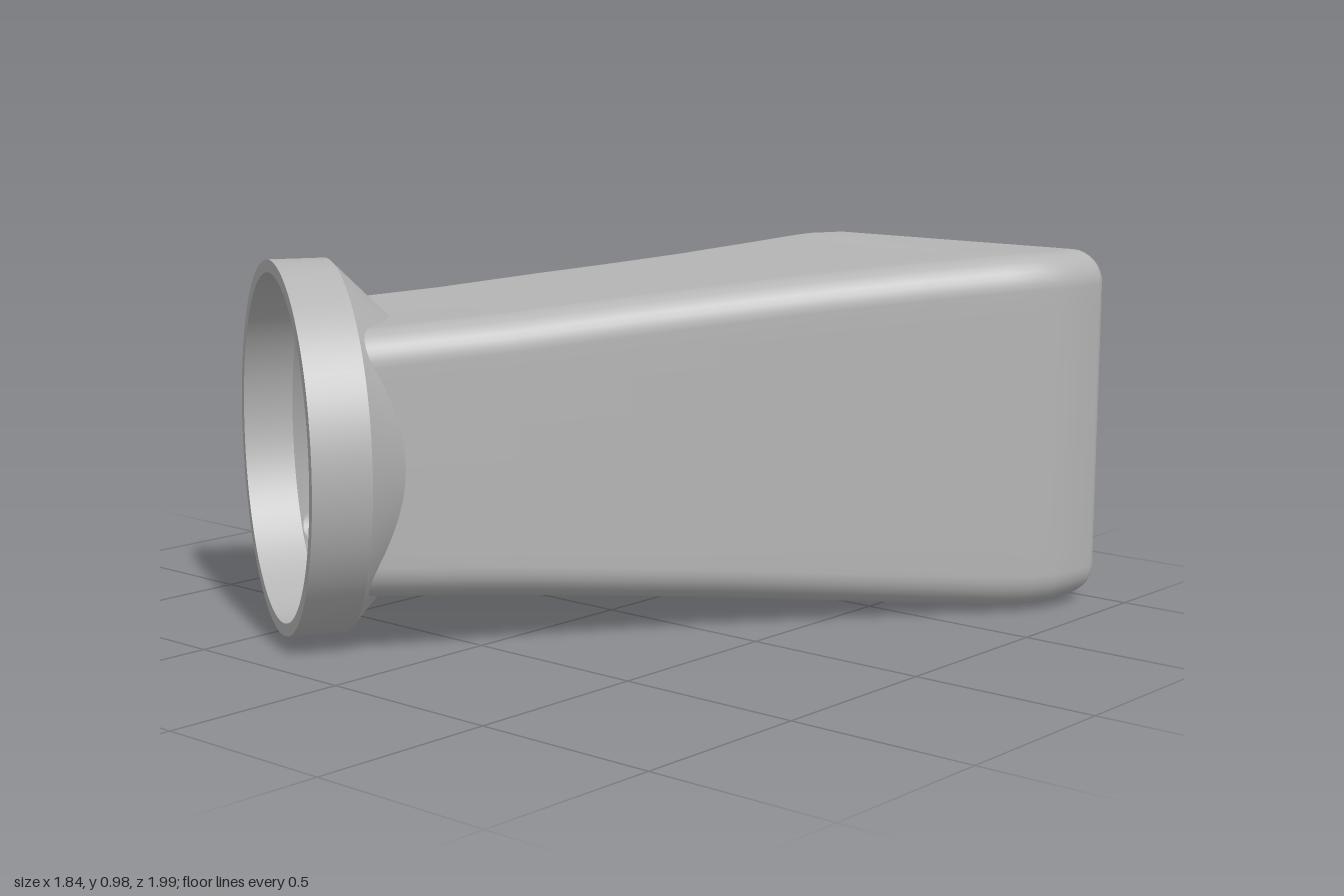
import * as THREE from 'three';
import { toCreasedNormals } from 'three/addons/utils/BufferGeometryUtils.js';

const CY = 0.49;                       // height of the duct's centre line
const RING_R = 0.488, BORE_R = 0.455;  // collar radii
const RING = new THREE.Vector3(-0.425, 0.488, 0.62); // centre of collar's rear edge
const TILT = Math.PI / 6;
const WALL = 0.02;

// Point from collar coordinates: e across, y up, d depth behind the collar
const fromCollar = (e, y, d) => new THREE.Vector3(
  RING.x + e * Math.cos(TILT) + d * Math.sin(TILT), y,
  RING.z + e * Math.sin(TILT) - d * Math.cos(TILT));

// Rounded rectangle, counter-clockwise, with subdivided flats
function roundedRect(a, b, r) {
  const pts = [], corners = [[1, 1], [-1, 1], [-1, -1], [1, -1]];
  corners.forEach(([sx, sy], q) => {
    for (let i = 0; i <= 8; i++) {
      const t = (q + i / 8) * Math.PI / 2;
      pts.push([sx * (a - r) + r * Math.cos(t), sy * (b - r) + r * Math.sin(t)]);
    }
    const p = pts[pts.length - 1], [nx, ny] = corners[(q + 1) % 4];
    const t = (q + 1) * Math.PI / 2;
    const end = [nx * (a - r) + r * Math.cos(t), ny * (b - r) + r * Math.sin(t)];
    for (let i = 1; i < 12; i++) {
      pts.push([p[0] + (end[0] - p[0]) * i / 12, p[1] + (end[1] - p[1]) * i / 12]);
    }
  });
  return pts;
}

// Skin a list of closed rings of equal length
function loft(rings, inward) {
  const n = rings[0].length, pos = [], idx = [];
  rings.forEach(ring => ring.forEach(p => pos.push(p.x, p.y, p.z)));
  for (let i = 0; i < rings.length - 1; i++) {
    for (let j = 0; j < n; j++) {
      const k = (j + 1) % n;
      const a = i * n + j, b = i * n + k, c = b + n, d = a + n;
      if (inward) idx.push(a, b, d, d, b, c);
      else idx.push(a, d, b, d, c, b);
    }
  }
  const g = new THREE.BufferGeometry();
  g.setAttribute('position', new THREE.Float32BufferAttribute(pos, 3));
  g.setIndex(idx);
  g.computeVertexNormals();
  return g;
}

// Body stations: left x, z, right x, z, half height
const STATIONS = [
  [-0.58, 0.104, 0.10, 0.462, 0.365],
  [-0.45, -0.145, 0.25, 0.20, 0.392],
  [-0.35, -0.335, 0.37, 0.00, 0.411],
  [-0.25, -0.525, 0.505, -0.20, 0.432],
  [-0.15, -0.71, 0.69, -0.46, 0.457],
  [-0.085, -0.835, 0.835, -0.655, 0.474],
  [-0.065, -0.872, 0.878, -0.72, 0.478],
  [-0.05, -0.90, 0.908, -0.785, 0.478],
  [-0.04, -0.92, 0.92, -0.85, 0.478],
  [-0.03, -0.94, 0.92, -0.94, 0.478],
];

// One station of the body, shrunk by an inset
function station([lx, lz, rx, rz, h], inset, radius) {
  const a = Math.hypot(rx - lx, rz - lz) / 2;
  return roundedRect(a - inset, h - inset, radius).map(([u, v]) => {
    const t = (u / a + 1) / 2;
    return new THREE.Vector3(lx + (rx - lx) * t, CY + v, lz + (rz - lz) * t);
  });
}

// Body mouth, cut where it meets the 45 degree cone
function mouth(inset, coneBase) {
  return roundedRect(0.38 - inset, 0.34 - inset, 0.09 - inset)
    .map(([u, v]) => fromCollar(u, CY + v, coneBase - Math.hypot(u, v)));
}

function bodyGeometry(inset, coneBase, inward) {
  const rings = [mouth(inset, coneBase)];
  STATIONS.forEach(s => rings.push(station(s, inset, 0.09 - inset)));
  // rounded rear edge
  const last = STATIONS[STATIONS.length - 1], r = 0.06 - inset;
  for (let i = 1; i <= 6; i++) {
    const t = i / 6 * Math.PI / 2, q = r * (1 - Math.cos(t));
    const z = -0.94 - r * Math.sin(t);
    rings.push(station([last[0], z, last[2], z, last[4]], inset + q, 0.09 - inset - q));
  }
  // flat rear wall, with its own vertices
  const rim = rings[rings.length - 1];
  const centre = new THREE.Vector3((last[0] + last[2]) / 2, CY, rim[0].z);
  rings.push(rim.map(p => p.clone()), rim.map(() => centre));
  return loft(rings, inward);
}

// Cone between the collar and the body mouth
function coneGeometry(inset, coneBase, radius, inward) {
  const circle = roundedRect(0.38 - inset, 0.34 - inset, 0.09 - inset).map(([u, v]) => {
    const k = radius / Math.hypot(u, v);
    return fromCollar(u * k, RING.y + v * k, coneBase - radius);
  });
  return loft([circle, mouth(inset, coneBase)], inward);
}

export function createModel() {
  const group = new THREE.Group();
  const grey = new THREE.MeshStandardMaterial({ color: 0xb4b4b4 });
  grey.name = 'grey';
  const add = (name, geometry) => {
    const mesh = new THREE.Mesh(geometry, grey);
    mesh.name = name;
    group.add(mesh);
    return mesh;
  };

  // Round collar
  const shape = new THREE.Shape().absarc(0, 0, RING_R, 0, Math.PI * 2, false);
  shape.holes.push(new THREE.Path().absarc(0, 0, BORE_R, 0, Math.PI * 2, true));
  const ring = new THREE.ExtrudeGeometry(shape, { depth: 0.15, bevelEnabled: false, curveSegments: 96 });
  const collar = add('collar', toCreasedNormals(ring, 0.5));
  collar.rotation.y = -TILT;
  collar.position.copy(RING);

  // Outer and inner skins
  add('bodyOuter', bodyGeometry(0, RING_R, false));
  add('bodyInner', bodyGeometry(WALL, 0.44, true));
  add('coneOuter', coneGeometry(0, RING_R, RING_R, false));
  add('coneInner', coneGeometry(WALL, 0.44, BORE_R, true));
  return group;
}
